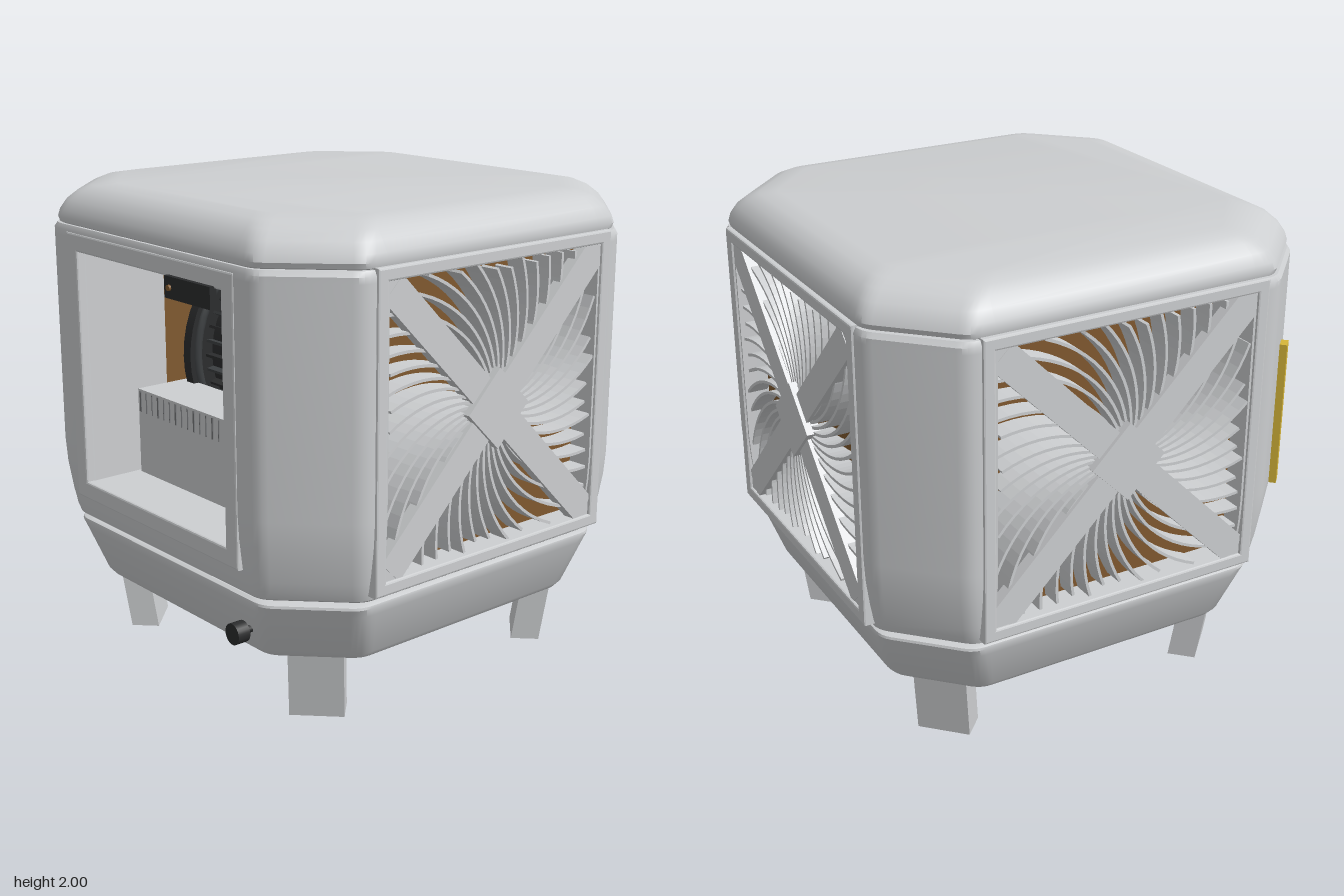
import * as THREE from 'three';
import { mergeGeometries, toCreasedNormals } from 'three/addons/utils/BufferGeometryUtils.js';

const mat = (name, color, side = THREE.FrontSide) => {
  const m = new THREE.MeshStandardMaterial({ color, side });
  m.name = name;
  return m;
};

export function createModel() {
  const grey = mat('light grey plastic', 0xcdcfd1, THREE.DoubleSide);
  const brown = mat('brown cooling pad', 0x80592f);
  const black = mat('black plastic', 0x2b2c2d);
  const slate = mat('dark grey housing', 0x3c3f41);
  const yellow = mat('yellow gauge', 0xd6b63a);
  const shade = mat('slot grey', 0x77797b);

  const root = new THREE.Group();
  const body = new THREE.Group();
  body.name = 'cooler';
  body.position.z = -0.01;
  root.add(body);

  const add = (parent, name, geo, material, x = 0, y = 0, z = 0) => {
    const m = new THREE.Mesh(geo, material);
    m.name = name;
    m.position.set(x, y, z);
    parent.add(m);
    return m;
  };
  const box = (w, h, d) => new THREE.BoxGeometry(w, h, d);

  // Rounded octagon: half width w, chamfer c; the middle of every side is one segment
  const HALF = 0.56;
  const octagon = (w, c) => {
    const e = w - c, t = 0.045, s = Math.SQRT1_2 * t, side = [];
    const h = Math.min(HALF, e - t - 0.01);
    side.push([-h, w], [h, w]);
    const curve = (a, b, d) => {
      for (let i = 0; i <= 4; i++) {
        const q = i / 4, p = 1 - q;
        side.push([0, 1].map((j) => p * p * a[j] + 2 * p * q * b[j] + q * q * d[j]));
      }
    };
    curve([e - t, w], [e, w], [e + s, w - s]);
    curve([w - s, e + s], [w, e], [w, e - t]);
    const pts = [];
    for (let k = 0; k < 4; k++) {
      const co = Math.round(Math.cos(k * Math.PI / 2)), si = Math.round(Math.sin(k * Math.PI / 2));
      side.forEach(([x, z]) => pts.push([x * co + z * si, -x * si + z * co]));
    }
    return pts;
  };

  // Loft through [half width, chamfer, y] rows; skip(side, y) leaves openings
  const loft = (rows, skip = () => false) => {
    const pos = [], idx = [], n = octagon(rows[0][0], rows[0][1]).length;
    rows.forEach(([w, c, y]) => octagon(w, c).forEach(([x, z]) => pos.push(x, y, z)));
    for (let r = 0; r < rows.length - 1; r++) {
      for (let i = 0; i < n; i++) {
        if (i % (n / 4) === 0 && skip(i / (n / 4), (rows[r][2] + rows[r + 1][2]) / 2)) continue;
        const a = r * n + i, b = r * n + (i + 1) % n;
        idx.push(a, b, b + n, a, b + n, a + n);
      }
    }
    const last = (rows.length - 1) * n;
    for (let i = 1; i < n - 1; i++) idx.push(0, i + 1, i, last, last + i, last + i + 1);
    const g = new THREE.BufferGeometry();
    g.setAttribute('position', new THREE.Float32BufferAttribute(pos, 3));
    g.setIndex(idx);
    return toCreasedNormals(g, 0.6);
  };

  // Rectangular frame whose front face lies at z = 0
  const frame = (ow, oh, iw, ih, depth, bevel = 0.008) => {
    const rect = (S, w, h) => {
      const s = new S();
      s.moveTo(-w, -h).lineTo(w, -h).lineTo(w, h).lineTo(-w, h).closePath();
      return s;
    };
    const s = rect(THREE.Shape, ow - bevel, oh - bevel);
    s.holes.push(rect(THREE.Path, iw + bevel, ih + bevel));
    const g = new THREE.ExtrudeGeometry(s, { depth, bevelThickness: bevel, bevelSize: bevel, bevelSegments: 2 });
    return g.translate(0, 0, -depth - bevel);
  };

  // Main casing, base and lid
  add(body, 'casing', loft([
    [0.895, 0.28, 0.56], [0.915, 0.28, 0.575], [0.925, 0.28, 0.61], [0.931, 0.28, 0.65],
    [0.936, 0.28, 0.68], [0.95, 0.28, 0.8], [0.955, 0.28, 0.9], [0.955, 0.28, 1.79],
    [0.955, 0.28, 1.815], [0.945, 0.28, 1.835],
  ], (k, y) => y > (k === 0 ? 0.68 : 0.65) && y < 1.79), grey);
  add(body, 'neck', loft([[0.85, 0.26, 0.54], [0.85, 0.26, 0.57]]), black);
  add(body, 'base', loft([
    [0.785, 0.25, 0.28], [0.81, 0.255, 0.285], [0.83, 0.26, 0.31], [0.895, 0.27, 0.5],
    [0.907, 0.27, 0.535], [0.905, 0.27, 0.545], [0.89, 0.27, 0.552],
  ]), grey);
  add(body, 'lid', loft([
    [0.92, 0.28, 1.828], [0.94, 0.285, 1.84], [0.945, 0.285, 1.86], [0.938, 0.285, 1.89],
    [0.915, 0.28, 1.93], [0.88, 0.275, 1.965], [0.835, 0.265, 1.988], [0.77, 0.25, 2.0],
  ]), grey);

  // Splayed legs set on the diagonals
  for (let k = 0; k < 4; k++) {
    const g = box(0.22, 0.31, 0.12), p = g.attributes.position;
    for (let i = 0; i < p.count; i++) p.setZ(i, p.getZ(i) + 0.15 * p.getY(i));
    g.computeVertexNormals();
    const leg = new THREE.Group();
    leg.name = 'leg';
    leg.rotation.y = Math.PI / 4 + k * Math.PI / 2;
    body.add(leg);
    add(leg, 'legPost', g, grey, 0, 0.155, 0.868);
  }

  // Swirled fins of a grille, clipped to the square opening
  const fins = [];
  const COUNT = 44, R0 = 0.12, T = 0.006;
  for (let f = 0; f < COUNT; f++) {
    const a0 = (f + 0.5) / COUNT * Math.PI * 2, left = [], right = [];
    for (let i = 0; i <= 16; i++) {
      const r = R0 + i * 0.042;
      const a = a0 + 1.1 * (r - R0) - 0.25;
      const x = r * Math.cos(a), y = r * Math.sin(a);
      if (Math.max(Math.abs(x), Math.abs(y)) > 0.572) break;
      const d = a + Math.atan(1.1 * r);
      left.push(new THREE.Vector2(x - T * Math.sin(d), y + T * Math.cos(d)));
      right.unshift(new THREE.Vector2(x + T * Math.sin(d), y - T * Math.cos(d)));
    }
    fins.push(new THREE.ExtrudeGeometry(new THREE.Shape([...right, ...left]), { depth: 0.085, bevelEnabled: false }));
  }
  const finGeo = mergeGeometries(fins);

  // Grilles on the left, back and right sides
  ['leftGrille', 'backGrille', 'rightGrille'].forEach((name, k) => {
    const g = new THREE.Group();
    g.name = name;
    g.rotation.y = (k + 1) * Math.PI / 2;
    g.position.y = 1.22;
    body.add(g);
    add(g, 'grilleFrame', frame(0.622, 0.622, 0.57, 0.57, 0.13), grey, 0, 0, 0.965);
    add(g, 'coolingPad', box(1.16, 1.16, 0.03), brown, 0, 0, 0.83);
    add(g, 'fins', finGeo, grey, 0, 0, 0.855);
    for (const s of [1, -1]) {
      add(g, 'crossBar', box(1.53, 0.125, 0.05), grey, 0, 0, 0.93).rotation.z = s * Math.PI / 4;
      for (const t of [1, -1]) {
        add(g, 'cornerGusset', box(0.08, 0.08, 0.045), grey, s * 0.54, t * 0.54, 0.93);
      }
    }
    add(g, 'hub', box(0.23, 0.23, 0.06), grey, 0, 0, 0.94).rotation.z = Math.PI / 4;
  });

  // Front air outlet
  const outlet = new THREE.Group();
  outlet.name = 'airOutlet';
  body.add(outlet);
  add(outlet, 'outletFrame', frame(0.565, 0.567, 0.49, 0.492, 0.03), grey, 0, 1.243, 0.96);
  add(outlet, 'outletTunnel', frame(0.51, 0.512, 0.492, 0.494, 0.4, 0.001), grey, 0, 1.243, 0.94);
  add(outlet, 'outletBox', box(0.94, 0.37, 0.25), grey, 0, 0.935, 0.575);
  for (let i = 0; i < 22; i++) {
    add(outlet, 'slot', box(i % 3 ? 0.004 : 0.009, 0.09, 0.006), shade, -0.45 + i * 0.043, 1.067, 0.702);
  }
  add(outlet, 'slotLedge', box(0.94, 0.1, 0.012), grey, 0, 1.07, 0.695);

  // Blower drum inside the casing
  const blower = new THREE.Group();
  blower.name = 'blower';
  blower.position.y = 1.235;
  body.add(blower);
  const disc = (r, w) => new THREE.CylinderGeometry(r, r, w, 48).rotateZ(Math.PI / 2);
  add(blower, 'drumCore', disc(0.375, 0.76), black);
  for (let i = 0; i < 40; i++) {
    const a = i / 40 * Math.PI * 2;
    const b = add(blower, 'blade', box(0.76, 0.012, 0.035), i % 2 ? slate : black,
      0, 0.39 * Math.sin(a), 0.39 * Math.cos(a));
    b.rotation.x = -a;
  }
  for (const s of [1, -1]) {
    add(blower, 'housingCheek', disc(0.49, 0.05), black, s * 0.405, 0, 0);
    add(blower, 'housingRim', new THREE.TorusGeometry(0.45, 0.02, 8, 48).rotateY(Math.PI / 2), slate, s * 0.385, 0, 0);
  }
  add(blower, 'housingTop', box(0.86, 0.04, 0.5), slate, 0, 0.475, 0.02);
  add(blower, 'housingBack', box(0.86, 0.9, 0.03), black, 0, 0, -0.47);
  add(blower, 'motor', disc(0.14, 0.04), grey, 0.465, 0, 0);

  // Latch, dial and level gauge
  add(body, 'latch', box(0.29, 0.085, 0.03), black, 0.31, 1.702, 0.965);
  add(body, 'latchPin', new THREE.CylinderGeometry(0.012, 0.012, 0.012, 12).rotateX(Math.PI / 2), brown, 0.2, 1.702, 0.984);
  add(body, 'dial', new THREE.CylinderGeometry(0.043, 0.043, 0.055, 24).rotateX(Math.PI / 2), black, 0.505, 0.395, 0.92);
  add(body, 'dialStem', new THREE.CylinderGeometry(0.015, 0.015, 0.08, 12).rotateX(Math.PI / 2), black, 0.505, 0.395, 0.87);
  add(body, 'levelGauge', box(0.055, 0.62, 0.03), yellow, -0.835, 1.18, 0.822).rotation.y = -Math.PI / 4;

  return root;
}
